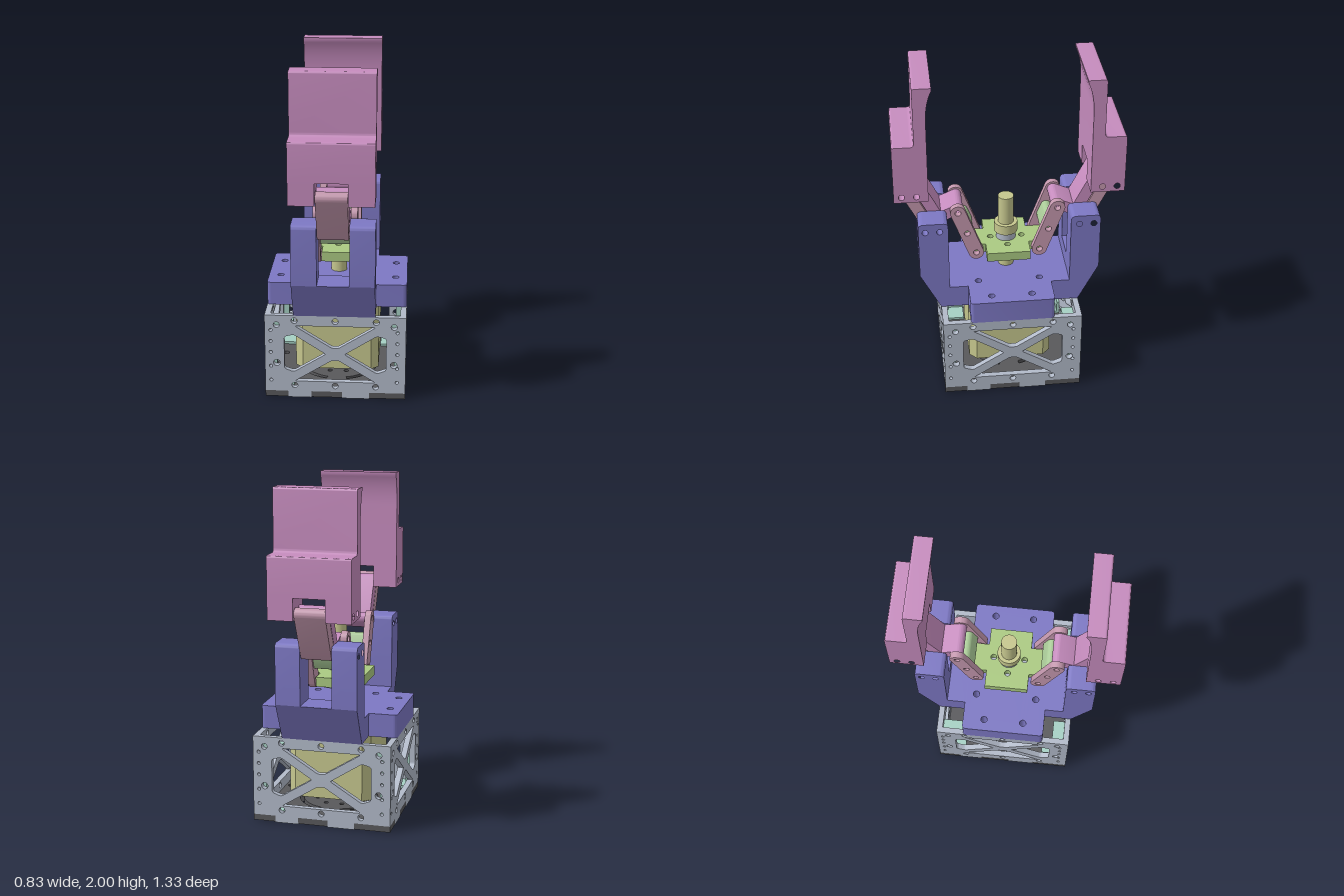
import * as THREE from 'three';
import { toCreasedNormals } from 'three/addons/utils/BufferGeometryUtils.js';

const paint = (name, color) => {
  const m = new THREE.MeshStandardMaterial({ color });
  m.name = name;
  return m;
};

export function createModel() {
  const root = new THREE.Group();
  root.name = 'gripper';
  const violet = paint('violet', 0x7d78c4), pink = paint('pink', 0xc68cbe);
  const mauve = paint('mauve', 0xc498ae), lime = paint('lime green', 0xabca82);
  const sage = paint('sage green', 0xaacb98), khaki = paint('khaki', 0xc6c78e);
  const grey = paint('blue grey', 0xb2bac9), mint = paint('mint', 0xa6d0c4);
  const dark = paint('charcoal', 0x58585b);

  const add = (name, geo, mat, parent = root) => {
    const m = new THREE.Mesh(geo, mat);
    m.name = name;
    parent.add(m);
    return m;
  };
  const box = (name, mat, x0, x1, y0, y1, z0, z1, parent) =>
    add(name, new THREE.BoxGeometry(x1 - x0, y1 - y0, z1 - z0)
      .translate((x0 + x1) / 2, (y0 + y1) / 2, (z0 + z1) / 2), mat, parent);
  const poly = (pts) => new THREE.Shape(pts.map((p) => new THREE.Vector2(p[0], p[1])));
  const hole = (x, y, r = 0.018) => new THREE.Path().absarc(x, y, r, 0, Math.PI * 2, true);
  const solid = (shape, depth) => toCreasedNormals(
    new THREE.ExtrudeGeometry(shape, { depth, bevelEnabled: false, curveSegments: 10 }), 0.6);
  // Side profile (z, y) swept from x0 to x1
  const across = (shape, x0, x1) => solid(shape, x1 - x0).rotateY(-Math.PI / 2).translate(x1, 0, 0);
  // Plan (x, -z) swept from y0 to y1
  const upward = (shape, y0, y1) => solid(shape, y1 - y0).rotateX(-Math.PI / 2).translate(0, y0, 0);
  // Polygon with rounded corners; each point may carry its own radius
  const rounded = (pts) => {
    const s = new THREE.Shape(), n = pts.length;
    pts.forEach(([x, y, r = 0], i) => {
      const toward = ([px, py]) => {
        const l = Math.hypot(px - x, py - y);
        return [x + (px - x) / l * r, y + (py - y) / l * r];
      };
      const a = toward(pts[(i + n - 1) % n]), b = toward(pts[(i + 1) % n]);
      if (i) s.lineTo(...a); else s.moveTo(...a);
      if (r) s.quadraticCurveTo(x, y, ...b);
    });
    s.closePath();
    return s;
  };
  // Bar with round ends from a to b, pierced at both pivots
  const bar = (a, b, r, holes = [a, b]) => {
    const t = Math.atan2(b[1] - a[1], b[0] - a[0]), q = Math.PI / 2;
    const s = new THREE.Shape();
    s.absarc(a[0], a[1], r, t + q, t + 3 * q, false);
    s.absarc(b[0], b[1], r, t - q, t + q, false);
    s.closePath();
    holes.forEach((h) => s.holes.push(hole(h[0], h[1])));
    return s;
  };

  // Truss side panel, with notches for the base plate tabs
  const tabs = [[-0.415, -0.28], [-0.14, 0.04], [0.2, 0.38]];
  const panel = poly([[-0.415, 0.525], [-0.415, 0.04], [-0.28, 0.04], [-0.28, 0], [-0.14, 0],
    [-0.14, 0.04], [0.04, 0.04], [0.04, 0], [0.2, 0], [0.2, 0.04], [0.38, 0.04], [0.38, 0.525]]);
  for (const k of [-1, 1]) {
    panel.holes.push(rounded([[k * 0.3, 0.39, 0.015], [k * 0.245, 0.405, 0.015], [k * 0.055, 0.283, 0.01],
      [k * 0.245, 0.165, 0.015], [k * 0.3, 0.185, 0.015]]));
    const mid = 0.283, h = 0.178 * k;
    panel.holes.push(rounded([[-0.24, mid + h, 0.015], [0.24, mid + h, 0.015],
      [0.02, mid + 0.04 * k, 0.01], [-0.02, mid + 0.04 * k, 0.01]]));
    panel.holes.push(hole(k * 0.24, 0.493), hole(k * 0.24, 0.078));
    panel.holes.push(hole(k * 0.345, 0.465), hole(k * 0.345, 0.222, 0.02));
  }
  panel.holes.push(hole(0, 0.493), hole(0, 0.078));
  for (const y of [0.11, 0.2, 0.29, 0.36, 0.43]) panel.holes.push(hole(-0.38, y, 0.01), hole(0.365, y, 0.01));
  for (let i = 0; i < 4; i++) {
    const side = new THREE.Group();
    side.name = 'baseSide';
    side.rotation.y = i * Math.PI / 2;
    root.add(side);
    add('trussPanel', solid(panel, 0.035).translate(0, 0, 0.38), grey, side);
    tabs.forEach(([a, b]) => box('basePlateTab', dark, a, b, 0.004, 0.04, 0.38, 0.415, side));
    // Corner bracket: floor and top flanges joined along the walls
    box('bracketFloor', mint, 0.25, 0.38, 0.04, 0.055, 0.25, 0.38, side);
    box('bracketLowerRib', mint, 0.25, 0.38, 0.055, 0.13, 0.365, 0.38, side);
    box('bracketUpperRib', mint, 0.31, 0.38, 0.41, 0.47, 0.25, 0.38, side);
    box('bracketPost', mint, 0.345, 0.38, 0.055, 0.41, 0.345, 0.38, side);
  }

  // Base plate with arc slots and bolt holes
  const base = poly([[-0.38, -0.38], [0.38, -0.38], [0.38, 0.38], [-0.38, 0.38]]);
  base.holes.push(hole(0, 0, 0.035));
  for (let i = 0; i < 4; i++) {
    const a = i * Math.PI / 2 + 0.25, b = a + 1.05;
    const slot = new THREE.Path();
    slot.absarc(0, 0, 0.24, a, b, false);
    slot.absarc(0, 0, 0.215, b, a, true);
    slot.closePath();
    base.holes.push(slot);
  }
  for (let i = 0; i < 8; i++) {
    const t = i * Math.PI / 4 + 0.39;
    base.holes.push(hole(0.13 * Math.cos(t), 0.13 * Math.sin(t), 0.014));
  }
  for (const x of [-1, 1]) for (const z of [-1, 1]) base.holes.push(hole(x * 0.345, z * 0.12, 0.02));
  add('basePlate', upward(base, 0.004, 0.04), dark);

  // Motor block with chamfered corners
  add('motor', upward(poly([[-0.25, -0.205], [-0.205, -0.25], [0.205, -0.25], [0.25, -0.205],
    [0.25, 0.205], [0.205, 0.25], [-0.205, 0.25], [-0.25, 0.205]]), 0.115, 0.524), khaki);

  // Mounting deck
  const deck = rounded([[-0.415, -0.25, 0.025], [0.415, -0.25, 0.025], [0.415, 0.25, 0.025], [-0.415, 0.25, 0.025]]);
  for (const x of [-1, 1]) for (const z of [-1, 1])
    deck.holes.push(hole(x * 0.345, z * 0.12, 0.02), hole(x * 0.185, z * 0.185, 0.02));
  add('deck', upward(deck, 0.525, 0.665), violet);

  // Lead screw, nut and flange
  const rod = (name, r, y0, y1, mat) =>
    add(name, new THREE.CylinderGeometry(r, r, y1 - y0, 40).translate(0, (y0 + y1) / 2, 0), mat);
  rod('leadScrew', 0.047, 0.6, 1.145, khaki);
  rod('flangeHub', 0.057, 0.75, 0.766, grey);
  rod('flange', 0.13, 0.765, 0.8, grey);
  rod('collar', 0.06, 0.855, 0.905, grey);
  rod('nut', 0.07, 0.903, 0.965, khaki);

  // Sliding carriage with an ear at each end
  const carriage = poly([[-0.19, -0.13], [-0.09, -0.13], [-0.09, -0.235], [0.08, -0.235], [0.08, -0.13], [0.185, -0.13],
    [0.185, 0.13], [0.08, 0.13], [0.08, 0.235], [-0.09, 0.235], [-0.09, 0.13], [-0.19, 0.13]]);
  for (const k of [-1, 1]) carriage.holes.push(hole(k * 0.095, 0), hole(0, k * 0.095));
  add('carriage', upward(carriage, 0.8, 0.857), lime);

  // Front and back jaws
  const L = -0.245, R = 0.235, l = -0.095, r = 0.085;
  for (const s of [1, -1]) {
    const jaw = new THREE.Group();
    jaw.name = s > 0 ? 'frontJaw' : 'backJaw';
    root.add(jaw);
    const P = (z, y) => [s * z, y];

    // Forked upright
    add('uprightFoot', across(poly([P(0.25, 0.525), P(0.415, 0.525), P(0.535, 0.76), P(0.36, 0.76),
      P(0.36, 0.665), P(0.25, 0.665)]), L, R), violet, jaw);
    const prong = rounded([P(0.36, 0.76), P(0.535, 0.76), [...P(0.535, 1.12), 0.03], [...P(0.36, 1.12), 0.03]]);
    prong.holes.push(hole(s * 0.41, 1.065), hole(s * 0.495, 1.065));
    add('rightProng', across(prong, L, l - 0.003), violet, jaw);
    add('leftProng', across(prong, r + 0.003, R), violet, jaw);

    // Parallel links and crank
    add('outerLink', across(bar(P(0.495, 1.065), P(0.62, 1.315), 0.035), l, r), mauve, jaw);
    add('innerLink', across(bar(P(0.41, 1.065), P(0.535, 1.315), 0.035), l, r), pink, jaw);
    add('crankArm', across(bar(P(0.41, 1.065), P(0.295, 1.115), 0.034), l + 0.001, r - 0.001), pink, jaw);

    // Drive links from carriage to crank, with spacer
    const low = P(0.19, 0.83), mid = P(0.243, 0.97), top = P(0.295, 1.115);
    const drive = bar(low, top, 0.045, [low, mid, top]);
    add('rightDriveLink', across(drive, -0.135, l - 0.001), mauve, jaw);
    add('leftDriveLink', across(drive, r + 0.001, 0.125), mauve, jaw);
    add('driveSpacer', across(bar(P(0.23, 0.94), P(0.254, 1.0), 0.03, []), l, r), sage, jaw);

    // Finger: full-width pad above, two cheeks around the link slot below
    const pad = new THREE.Shape();
    pad.moveTo(s * 0.467, 1.41);
    pad.lineTo(s * 0.665, 1.41);
    pad.lineTo(s * 0.665, 1.625);
    pad.quadraticCurveTo(s * 0.665, 1.64, s * 0.65, 1.64);
    pad.lineTo(s * 0.56, 1.64);
    pad.quadraticCurveTo(s * 0.538, 1.64, s * 0.538, 1.662);
    pad.lineTo(s * 0.538, 1.985);
    pad.quadraticCurveTo(s * 0.538, 2, s * 0.523, 2);
    pad.lineTo(s * 0.43, 2);
    pad.lineTo(s * 0.43, 1.985);
    pad.quadraticCurveTo(s * 0.467, 1.91, s * 0.467, 1.79);
    pad.closePath();
    add('fingerPad', across(pad, L, R), pink, jaw);
    const cheek = poly([P(0.467, 1.28), P(0.665, 1.28), P(0.665, 1.41), P(0.467, 1.41)]);
    cheek.holes.push(hole(s * 0.62, 1.315), hole(s * 0.535, 1.315));
    add('rightFingerCheek', across(cheek, L, l - 0.003), pink, jaw);
    add('leftFingerCheek', across(cheek, r + 0.003, R), pink, jaw);
  }
  return root;
}
